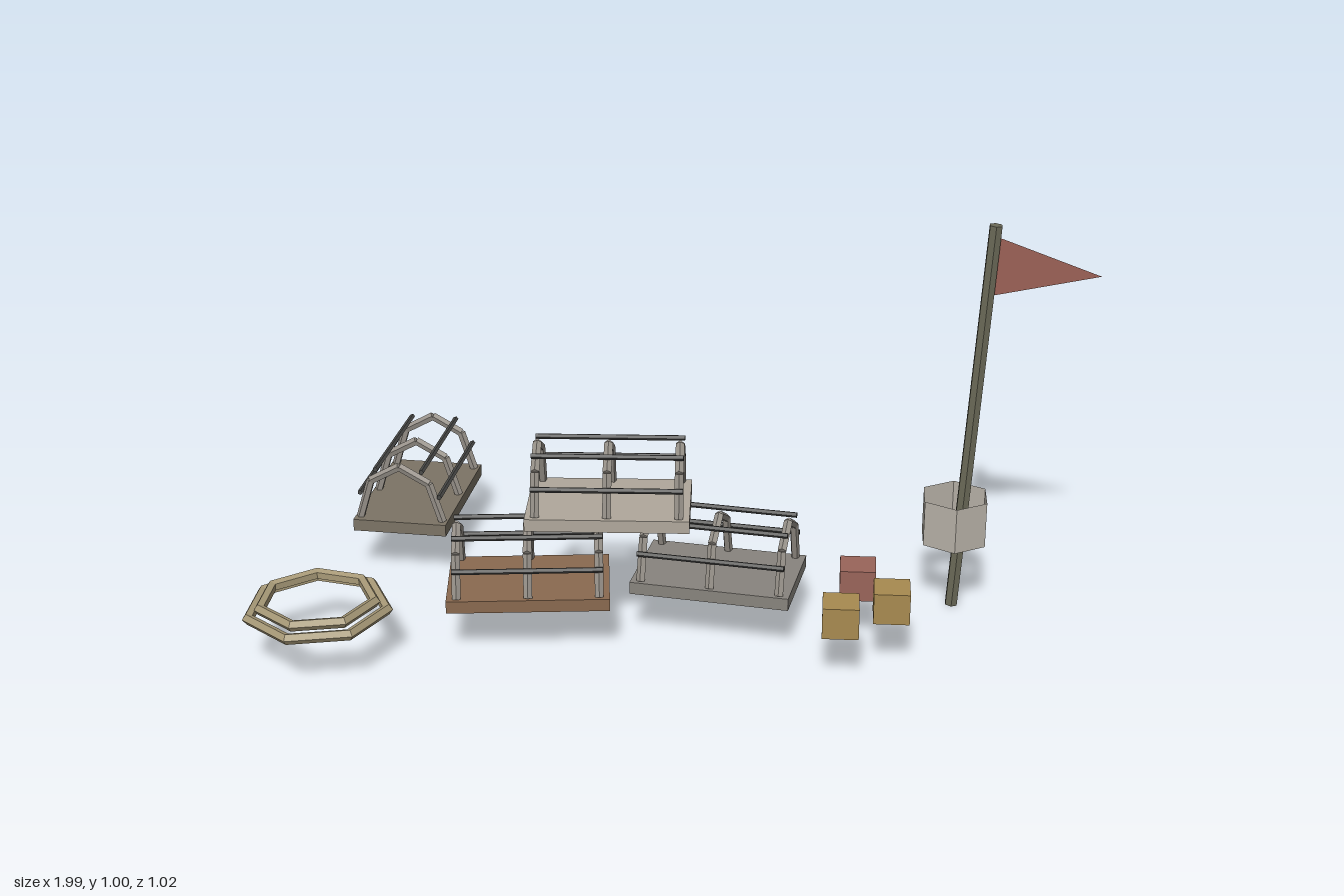
import * as THREE from 'three';

const mat = (color, extra = {}) =>
  new THREE.MeshStandardMaterial({ color, flatShading: true, ...extra });

function add(parent, name, geometry, material, x = 0, y = 0, z = 0) {
  const m = new THREE.Mesh(geometry, material);
  m.name = name;
  m.position.set(x, y, z);
  parent.add(m);
  return m;
}

// Straight round stick between two points
function stick(parent, name, a, b, r, material, sides = 5) {
  const dir = b.clone().sub(a);
  const m = add(parent, name, new THREE.CylinderGeometry(r, r, dir.length(), sides), material);
  m.position.copy(a).addScaledVector(dir, 0.5);
  m.quaternion.setFromUnitVectors(new THREE.Vector3(0, 1, 0), dir.normalize());
  return m;
}

const V = (x, y, z) => new THREE.Vector3(x, y, z);
const ribMat = mat(0x9a948c);
const slatMat = mat(0x4a4a48);

// Fishing trap: plank base, three bent hoops and four long slats
function makeTrap(baseColor) {
  const g = new THREE.Group();
  g.name = 'trap';
  const baseTop = 0.031;
  add(g, 'trapBase', new THREE.BoxGeometry(0.39, baseTop, 0.243), mat(baseColor), 0, baseTop / 2, 0);
  for (const x of [-0.17, 0, 0.17]) {
    const hoop = [];
    for (let i = 0; i <= 4; i++) {
      const a = (i * Math.PI) / 4;
      hoop.push(V(x, baseTop + 0.145 * Math.sin(a), 0.108 * Math.cos(a)));
    }
    for (let i = 0; i < 4; i++) stick(g, 'trapHoop', hoop[i], hoop[i + 1], 0.011, ribMat);
  }
  for (const side of [-1, 1]) {
    for (const [z, y] of [[0.104, 0.07], [0.06, 0.137]]) {
      stick(g, 'trapSlat', V(-0.18, baseTop + y, side * z), V(0.18, baseTop + y, side * z), 0.007, slatMat);
    }
  }
  return g;
}

export function createModel() {
  const root = new THREE.Group();
  root.name = 'fishingGear';

  // Stacked traps: x, y, z, turn, base colour
  const traps = [
    [-0.355, 0.123, 0.17, 0.11, 0x8a6a50],
    [0.102, 0.123, 0.088, -0.16, 0x88847e],
    [-0.16, 0.323, 0.135, 0.04, 0xb0a89c],
    [-0.713, 0.123, -0.31, 1.49, 0x7c7466],
  ];
  for (const [x, y, z, turn, color] of traps) {
    const t = makeTrap(color);
    t.position.set(x, y, z);
    t.rotation.y = turn;
    root.add(t);
  }

  // Coiled rope: two seven-sided rings
  const ropeMat = mat(0xa89a78);
  for (const [radius, y] of [[0.167, 0.138], [0.138, 0.158]]) {
    const ring = add(root, 'ropeCoil', new THREE.TorusGeometry(radius, 0.014, 5, 7), ropeMat, -0.84, y, 0.328);
    ring.rotation.x = Math.PI / 2;
  }

  // Bait boxes
  for (const [x, z, color] of [[0.44, 0.133, 0x9a645a], [0.52, 0.248, 0xa88a50], [0.4, 0.33, 0xa88a50]]) {
    add(root, 'baitBox', new THREE.BoxGeometry(0.086, 0.078, 0.086), mat(color), x, 0.162, z);
  }

  // Leaning marker pole with an open float collar
  const pz = -0.064;
  stick(root, 'markerPole', V(0.68, 0.001, pz), V(0.738, 0.999, pz), 0.0165, mat(0x6b6a58), 6);
  add(root, 'floatCollar',
    new THREE.CylinderGeometry(0.0875, 0.0875, 0.118, 6, 1, true),
    mat(0xb8b2a8, { side: THREE.DoubleSide }), 0.677, 0.242, pz);

  // Pennant
  const flag = new THREE.BufferGeometry().setFromPoints([
    V(0.735, 0.973, pz), V(0.728, 0.822, pz), V(0.99, 0.884, pz + 0.018),
  ]);
  flag.computeVertexNormals();
  add(root, 'pennant', flag, mat(0x9a6055, { side: THREE.DoubleSide }));

  return root;
}
